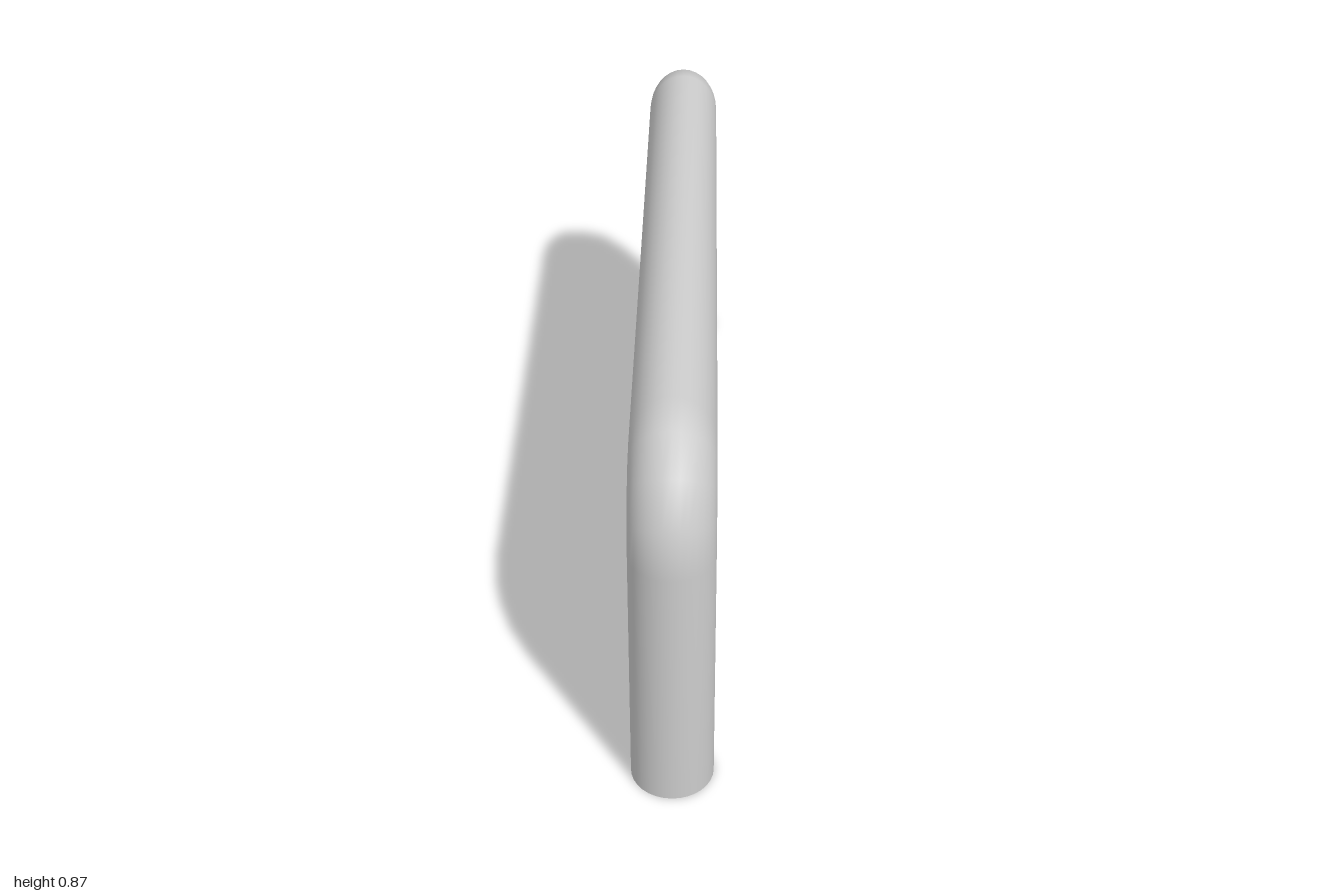
import * as THREE from 'three';

const material = new THREE.MeshStandardMaterial({ color: 0xcccccc, side: THREE.DoubleSide });

// Bent tube: straight legs, elbows in 22.5 degree steps, and a beam that is taller than wide
function makeFrame() {
  const sides = 32, steps = 4;
  const rings = [{ angle: 0, side: 1, ground: true }];
  for (let i = 0; i <= steps; i++) rings.push({ angle: (i / steps) * Math.PI / 2, side: 1 });
  for (let i = steps; i >= 0; i--) rings.push({ angle: (i / steps) * Math.PI / 2, side: -1 });
  rings.push({ angle: 0, side: -1, ground: true });

  const positions = [], indices = [];
  rings.forEach(({ angle, side, ground }, r) => {
    for (let j = 0; j < sides; j++) {
      const a = (j / sides) * Math.PI * 2;
      const x = 0.089 * Math.cos(a);
      const y = ground ? 0 : 0.589 + (0.166 + 0.11 * Math.sin(a)) * Math.sin(angle);
      const z = side * (0.764 + (0.148 + 0.088 * Math.sin(a)) * Math.cos(angle));
      positions.push(x, y, z);
      if (r === 0) continue;
      const k = (j + 1) % sides, p = (r - 1) * sides, q = r * sides;
      indices.push(p + j, q + j, p + k, p + k, q + j, q + k);
    }
  });
  const geometry = new THREE.BufferGeometry();
  geometry.setAttribute('position', new THREE.Float32BufferAttribute(positions, 3));
  // Wind the faces outward
  for (let i = 0; i < indices.length; i += 3) {
    [indices[i + 1], indices[i + 2]] = [indices[i + 2], indices[i + 1]];
  }
  geometry.setIndex(indices);
  geometry.computeVertexNormals();
  return geometry;
}

export function createModel() {
  const group = new THREE.Group();
  group.name = 'barrier';

  const frame = new THREE.Mesh(makeFrame(), material);
  frame.name = 'frame';
  group.add(frame);

  // Open-ended upright bars running up into the beam
  const count = 10, spacing = 0.159, height = 0.7;
  const barGeometry = new THREE.CylinderGeometry(0.044, 0.044, height, 32, 1, true);
  for (let i = 0; i < count; i++) {
    const bar = new THREE.Mesh(barGeometry, material);
    bar.name = `bar${i + 1}`;
    bar.position.set(0, height / 2, (i - (count - 1) / 2) * spacing);
    group.add(bar);
  }
  return group;
}
